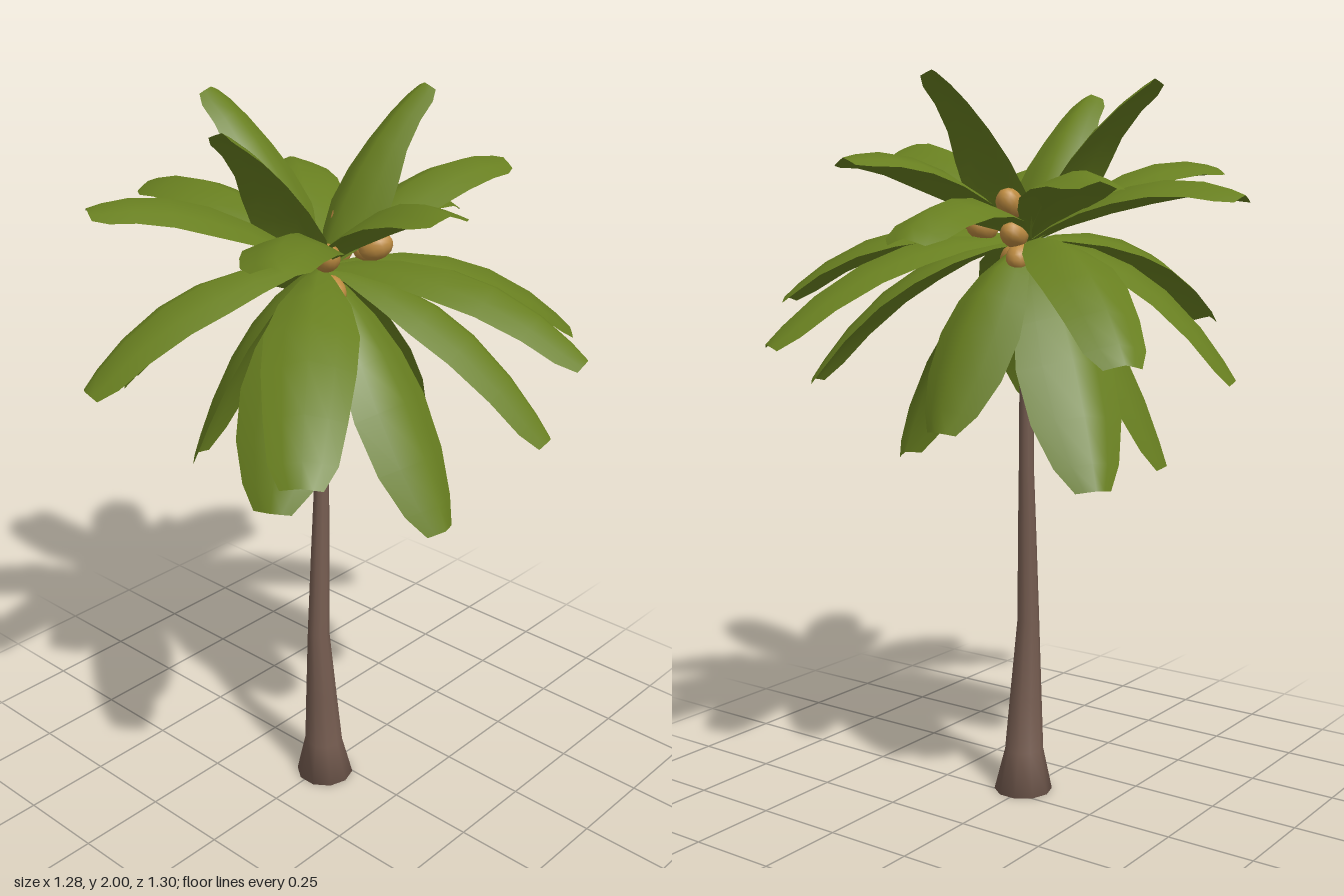
import * as THREE from 'three';
import { mergeVertices } from 'three/addons/utils/BufferGeometryUtils.js';

const bark = new THREE.MeshStandardMaterial({ color: 0x755c50 });
bark.name = 'bark';
const leaf = new THREE.MeshStandardMaterial({ color: 0x687f20, side: THREE.DoubleSide });
leaf.name = 'leaf green';
const husk = new THREE.MeshStandardMaterial({ color: 0xbd8b40 });
husk.name = 'coconut husk';

const crown = new THREE.Vector3(-0.03, 1.57, -0.02);

// Trunk rings: height, radius, centre x, centre z
const rings = [
  [0, 0.083, -0.05, 0.01], [0.12, 0.055, -0.055, 0.01], [0.28, 0.045, -0.066, 0.012],
  [0.5, 0.031, -0.075, 0.01], [0.75, 0.026, -0.06, 0.004], [0.95, 0.021, -0.047, -0.002],
  [1.3, 0.02, -0.035, -0.012], [1.53, 0.018, -0.03, -0.02],
];

function makeTrunk() {
  const profile = [new THREE.Vector2(0, 0)];
  rings.forEach(([y, r]) => profile.push(new THREE.Vector2(r, y)));
  profile.push(new THREE.Vector2(0, 1.54));
  const lathe = new THREE.LatheGeometry(profile, 10);
  lathe.deleteAttribute('uv');
  lathe.deleteAttribute('normal');
  const geo = mergeVertices(lathe);
  // Shift each ring along the bend of the trunk
  const pos = geo.attributes.position;
  for (let i = 0; i < pos.count; i++) {
    const y = pos.getY(i);
    const ring = rings.find((r) => Math.abs(r[0] - y) < 1e-4) || rings[rings.length - 1];
    pos.setX(i, pos.getX(i) + ring[2]);
    pos.setZ(i, pos.getZ(i) + ring[3]);
  }
  geo.computeVertexNormals();
  const mesh = new THREE.Mesh(geo, bark);
  mesh.name = 'trunk';
  return mesh;
}

// Frond outlines: position along the rib, half width
const broad = [
  [0, 0.012], [0.12, 0.045], [0.28, 0.09], [0.45, 0.116],
  [0.62, 0.113], [0.8, 0.098], [0.93, 0.081], [1, 0.05],
];
const tapered = [
  [0, 0.025], [0.12, 0.082], [0.28, 0.118], [0.45, 0.105],
  [0.62, 0.08], [0.8, 0.062], [0.93, 0.053], [1, 0.035],
];
const paddle = [
  [0, 0.012], [0.12, 0.045], [0.28, 0.085], [0.45, 0.118],
  [0.62, 0.138], [0.8, 0.128], [0.93, 0.092], [1, 0.05],
];

// A leaf blade arched from the crown to its tip and folded along the rib
function makeFrond([x, y, z], { outline, lift, push, width, fold }) {
  const tip = new THREE.Vector3(x, y, z);
  const out = new THREE.Vector3(x - crown.x, 0, z - crown.z).normalize();
  const bend = crown.clone().lerp(tip, 0.5).addScaledVector(out, push);
  bend.y += lift * 2;
  const rib = new THREE.QuadraticBezierCurve3(crown, bend, tip);
  const side = new THREE.Vector3(0, 1, 0).cross(out);
  const across = [-1, -0.55, 0, 0.55, 1];
  const points = [];
  const index = [];
  outline.forEach(([t, half], i) => {
    const p = rib.getPoint(t);
    const normal = rib.getTangent(t).cross(side).normalize();
    across.forEach((u, j) => {
      const w = half * width;
      const v = p.clone().addScaledVector(side, u * w)
        .addScaledVector(normal, -fold * w * Math.abs(u) ** 1.2);
      points.push(v.x, v.y, v.z);
      if (i && j) {
        const d = i * 5 + j;
        index.push(d - 6, d - 5, d, d - 6, d, d - 1);
      }
    });
  });
  const geo = new THREE.BufferGeometry();
  geo.setAttribute('position', new THREE.Float32BufferAttribute(points, 3));
  geo.setIndex(index);
  geo.computeVertexNormals();
  return new THREE.Mesh(geo, leaf);
}

// Tiers of fronds: outline, arch, outward push, width, fold and the tip of each frond
const tiers = [
  { name: 'uprightFrond', outline: tapered, lift: 0.045, push: -0.04, width: 1, fold: 0.45, tips: [
    [-0.4, 1.98, 0.02], [-0.04, 1.98, -0.4], [0.3, 2.0, 0.045]] },
  { name: 'upperFrond', outline: broad, lift: 0.09, push: 0.04, width: 0.98, fold: 0.4, tips: [
    [-0.54, 1.77, -0.32], [-0.55, 1.76, 0.32], [0.31, 1.72, -0.46],
    [-0.06, 1.69, -0.65], [0.53, 1.78, 0.14], [-0.2, 1.84, 0.53]] },
  { name: 'spreadingFrond', outline: broad, lift: 0.105, push: 0.05, width: 1, fold: 0.4, tips: [
    [0.64, 1.59, -0.14], [0.61, 1.32, 0.34], [0.22, 1.41, 0.65], [-0.6, 1.29, 0.45],
    [-0.64, 1.34, -0.25], [-0.29, 1.2, -0.52], [0.35, 1.3, -0.56], [0.2, 1.18, 0.57]] },
  { name: 'droopingFrond', outline: paddle, lift: 0.09, push: 0.045, width: 1, fold: 0.42, tips: [
    [0.34, 1.09, 0.01], [-0.03, 0.95, 0.42], [-0.43, 1.07, 0.18],
    [-0.17, 0.97, -0.38], [0.2, 0.96, -0.39]] },
];

const nuts = [
  [-0.075, 1.615, 0.045], [-0.15, 1.51, 0.02], [-0.06, 1.525, 0.05], [0.05, 1.63, 0.1],
  [0.085, 1.61, 0.05], [0.085, 1.67, -0.04], [0.05, 1.59, -0.03], [0.04, 1.53, -0.04],
];

export function createModel() {
  const tree = new THREE.Group();
  tree.name = 'palmTree';
  tree.add(makeTrunk());

  const fronds = new THREE.Group();
  fronds.name = 'fronds';
  tiers.forEach((tier) => tier.tips.forEach((tip, i) => {
    const frond = makeFrond(tip, tier);
    frond.name = tier.name + (i + 1);
    fronds.add(frond);
  }));
  tree.add(fronds);

  // Coconuts, slightly elongated and pointing away from the crown
  const coconuts = new THREE.Group();
  coconuts.name = 'coconuts';
  const nutGeo = new THREE.SphereGeometry(0.036, 12, 8).scale(1, 1, 1.3);
  nuts.forEach(([x, y, z], i) => {
    const nut = new THREE.Mesh(nutGeo, husk);
    nut.position.set(x, y, z);
    nut.lookAt(2 * x - crown.x, 2 * y - crown.y, 2 * z - crown.z);
    nut.name = 'coconut' + (i + 1);
    coconuts.add(nut);
  });
  tree.add(coconuts);
  return tree;
}
